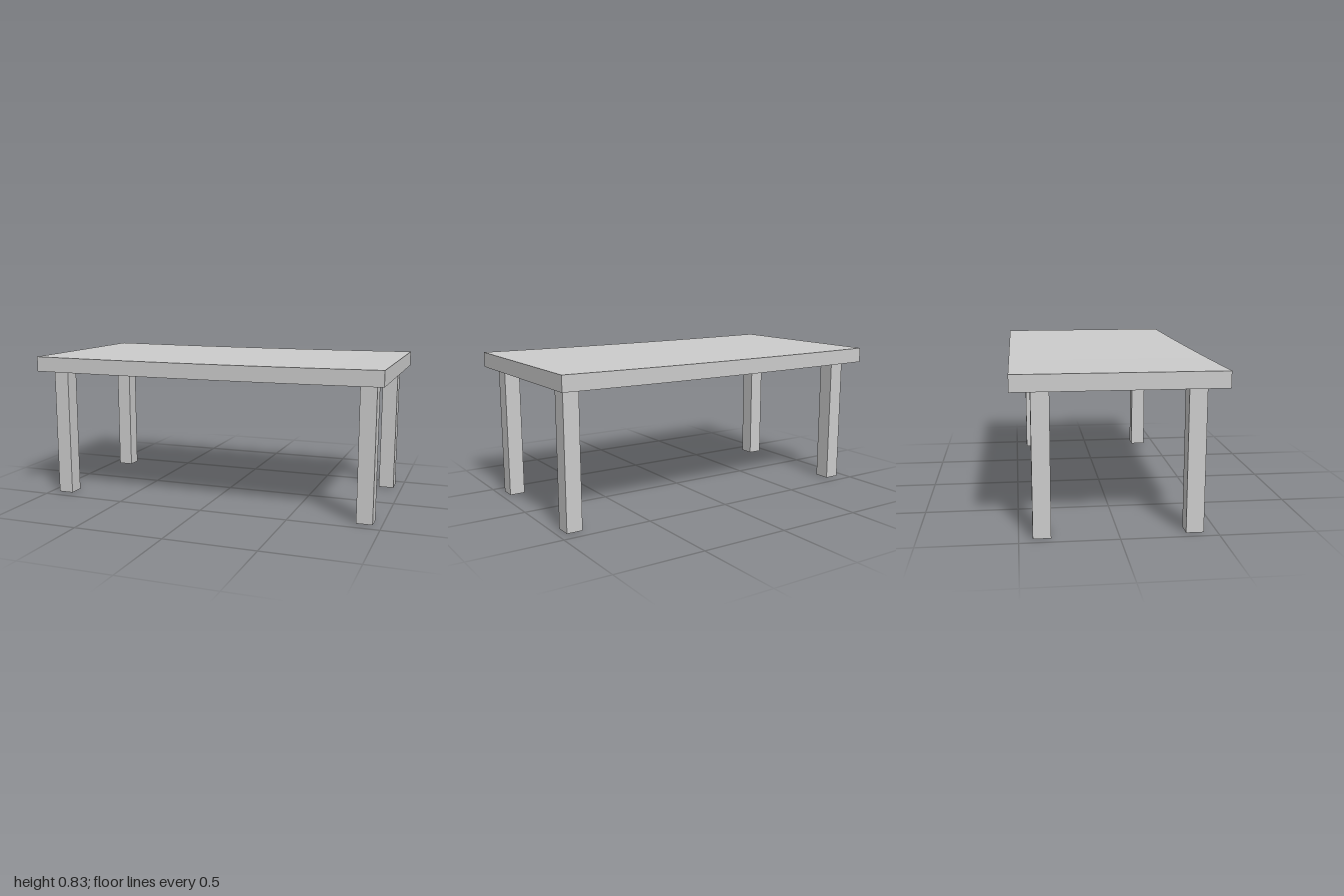
import * as THREE from 'three';

const LENGTH = 2, WIDTH = 1.064, TOP = 0.83, RIM_BOTTOM = 0.745;
const SLAB = 0.014, RIM = 0.008, SAG = 0.005;

export function createModel() {
  const model = new THREE.Group();
  const material = new THREE.MeshStandardMaterial({ color: 0xcccccc, flatShading: true });

  // Box spanning y0..y1, optionally bowed slightly down at mid-length
  function addBox(name, [w, d], [y0, y1], [x, z], segments = 1) {
    const g = new THREE.BoxGeometry(w, y1 - y0, d, segments, 1, 1);
    g.translate(x, (y0 + y1) / 2, z);
    if (segments > 1) {
      const p = g.attributes.position;
      for (let i = 0; i < p.count; i++) {
        p.setY(i, p.getY(i) - SAG * (1 - p.getX(i) ** 2));
      }
      g.computeVertexNormals();
    }
    const mesh = new THREE.Mesh(g, material);
    mesh.name = name;
    model.add(mesh);
  }

  // Thin tabletop panel
  const ceiling = TOP - SLAB;
  addBox('tabletop', [LENGTH, WIDTH], [ceiling, TOP], [0, 0], 16);

  // Thin rim hanging around the hollow underside
  for (const s of [-1, 1]) {
    addBox(s > 0 ? 'frontRim' : 'backRim', [LENGTH, RIM], [RIM_BOTTOM, ceiling],
      [0, s * (WIDTH - RIM) / 2], 16);
    addBox(s > 0 ? 'leftRim' : 'rightRim', [RIM, WIDTH - 2 * RIM], [RIM_BOTTOM, ceiling],
      [s * (LENGTH - RIM) / 2, 0]);
  }

  // Four square legs reaching up into the hollow
  for (const sx of [-1, 1]) {
    for (const sz of [-1, 1]) {
      const name = (sz > 0 ? 'front' : 'back') + (sx > 0 ? 'Left' : 'Right') + 'Leg';
      addBox(name, [0.088, 0.091], [0, ceiling], [sx * 0.907, sz * 0.385]);
    }
  }
  return model;
}
